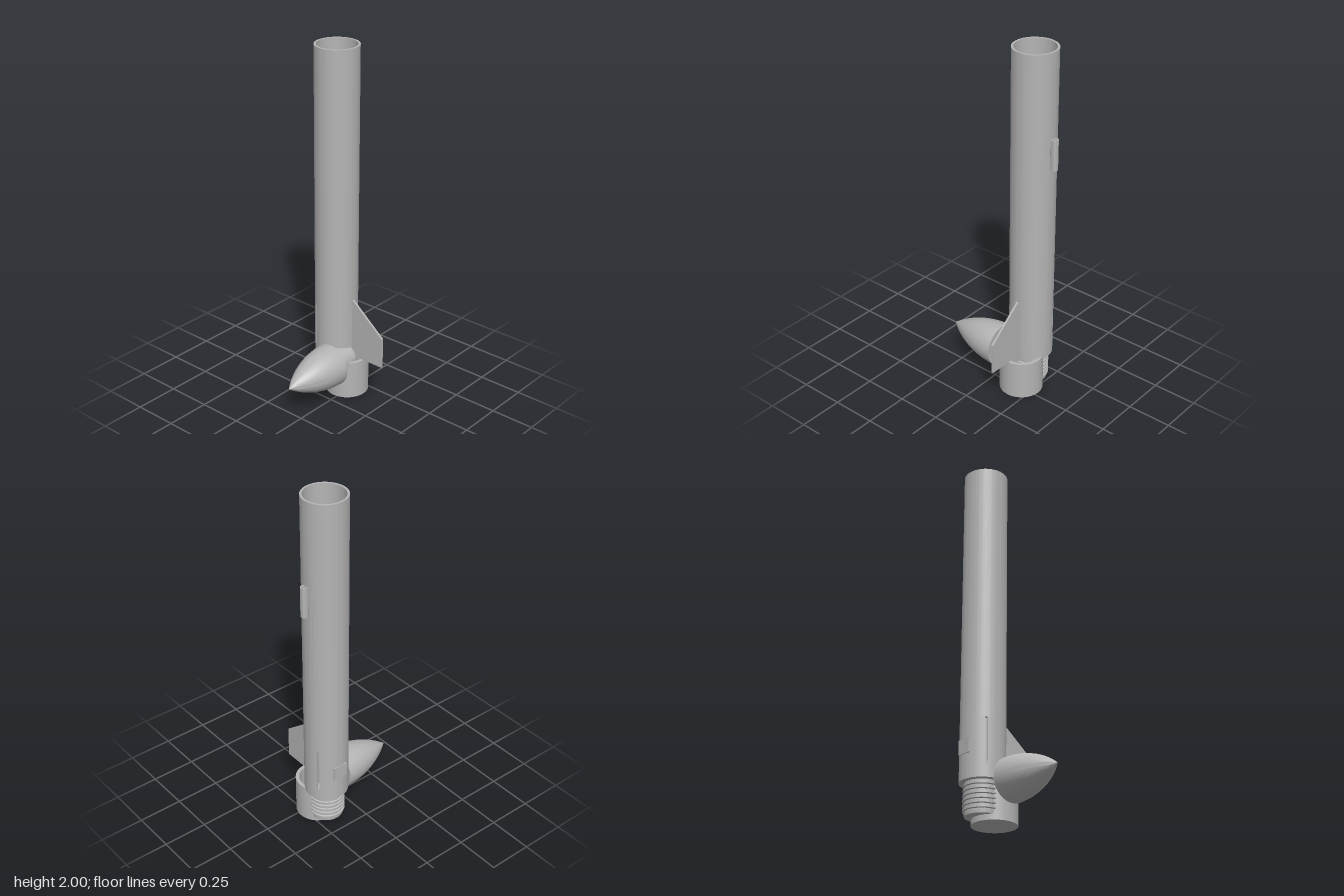
import * as THREE from 'three';
import { toCreasedNormals, mergeGeometries } from 'three/addons/utils/BufferGeometryUtils.js';

export function createModel() {
  const model = new THREE.Group();
  const grey = new THREE.MeshStandardMaterial({ color: 0xb4b4b4 });
  grey.name = 'plain grey';

  const TX = -0.105, TZ = -0.168; // body tube axis
  const CX = -0.025;              // cup and nose cone axis
  const R = 0.12;

  const add = (name, geo, x = 0, y = 0, z = 0) => {
    const mesh = new THREE.Mesh(geo, grey);
    mesh.name = name;
    mesh.position.set(x, y, z);
    model.add(mesh);
    return mesh;
  };
  const lathe = (pts) => toCreasedNormals(
    new THREE.LatheGeometry(pts.map(([r, y]) => new THREE.Vector2(r, y)), 64), 0.5);

  // Closed ring wall (or one arc of it) standing on y0
  const wall = (ro, ri, y0, y1, a0 = 0, a1 = Math.PI * 2) => {
    const shape = new THREE.Shape();
    shape.absarc(0, 0, ro, a0, a1, false);
    if (a1 - a0 > 6.28) {
      const hole = new THREE.Path();
      hole.absarc(0, 0, ri, 0, Math.PI * 2, true);
      shape.holes.push(hole);
    } else {
      shape.absarc(0, 0, ri, a1, a0, true);
      shape.closePath();
    }
    const geo = new THREE.ExtrudeGeometry(shape, { depth: y1 - y0, bevelEnabled: false, curveSegments: 48 });
    geo.rotateX(-Math.PI / 2);
    geo.translate(0, y0, 0);
    return toCreasedNormals(geo, 0.5);
  };

  // Body tube with three fin slots near its lower end
  const ri = 0.108, slotLow = 0.275, slotHigh = 0.525, half = 0.055;
  const sections = [wall(R, ri, 0.205, slotLow), wall(R, ri, slotHigh, 2)];
  for (let i = 0; i < 3; i++) {
    const a = i * Math.PI * 2 / 3;
    sections.push(wall(R, ri, slotLow, slotHigh, a + half, a + Math.PI * 2 / 3 - half));
  }
  add('bodyTube', mergeGeometries(sections), TX, 0, TZ);

  // Inner mount tube and its centring rings
  add('mountTube', wall(0.065, 0.062, 0.21, 0.58), TX, 0, TZ);
  add('lowerCentringRing', wall(0.108, 0.065, 0.24, 0.26), TX, 0, TZ);
  add('upperCentringRing', wall(0.108, 0.065, 0.54, 0.56), TX, 0, TZ);

  // Threaded retainer below the tube
  const thread = [[0, 0.03], [0.09, 0.03], [0.092, 0.046]];
  for (let i = 0; i < 6; i++) {
    const y = 0.046 + i * 0.025;
    thread.push([0.092, y + 0.008], [0.1, y + 0.011], [0.1, y + 0.019], [0.092, y + 0.022]);
  }
  thread.push([0.092, 0.205], [0.108, 0.205], [0.108, 0.225], [0.042, 0.225], [0.042, 0.05], [0, 0.05]);
  add('threadedRetainer', lathe(thread), TX, 0, TZ);

  // Fin, with a tab reaching through the slot
  const finShape = new THREE.Shape([
    [0.068, 0.28], [0.119, 0.28], [0.119, 0.222], [0.33, 0.222],
    [0.33, 0.4], [0.119, 0.572], [0.119, 0.52], [0.068, 0.52],
  ].map(([x, y]) => new THREE.Vector2(x, y)));
  const fin = new THREE.ExtrudeGeometry(finShape, { depth: 0.012, bevelEnabled: false });
  fin.translate(0, 0, -0.006);
  add('fin', fin, TX, 0, TZ);

  // Launch guide on the back and small plate on the right side
  add('guideTube', wall(0.02, 0.013, 1.365, 1.535), TX, 0, -0.3);
  add('sidePlate', new THREE.BoxGeometry(0.018, 0.08, 0.084), -0.219, 0.38, TZ);

  // Open cup standing on the ground
  add('cup', lathe([[0, 0], [R, 0], [R, 0.22], [0.1, 0.22], [0.1, 0.015], [0, 0.015]]), CX, 0, TZ);

  // Nose cone lying forward: shoulder, then a tangent ogive
  const nose = [[0, -0.16], [0.074, -0.16], [0.08, -0.15], [0.08, -0.028], [R, -0.028]];
  const L = 0.345, rho = (R * R + L * L) / (2 * R);
  for (let i = 1; i <= 24; i++) {
    const s = L * i / 24;
    nose.push([Math.max(0, Math.sqrt(rho * rho - s * s) - rho + R), -0.028 + s]);
  }
  const cone = lathe(nose);
  cone.rotateX(Math.PI / 2);
  add('noseCone', cone, CX, 0.208, 0);

  return model;
}
